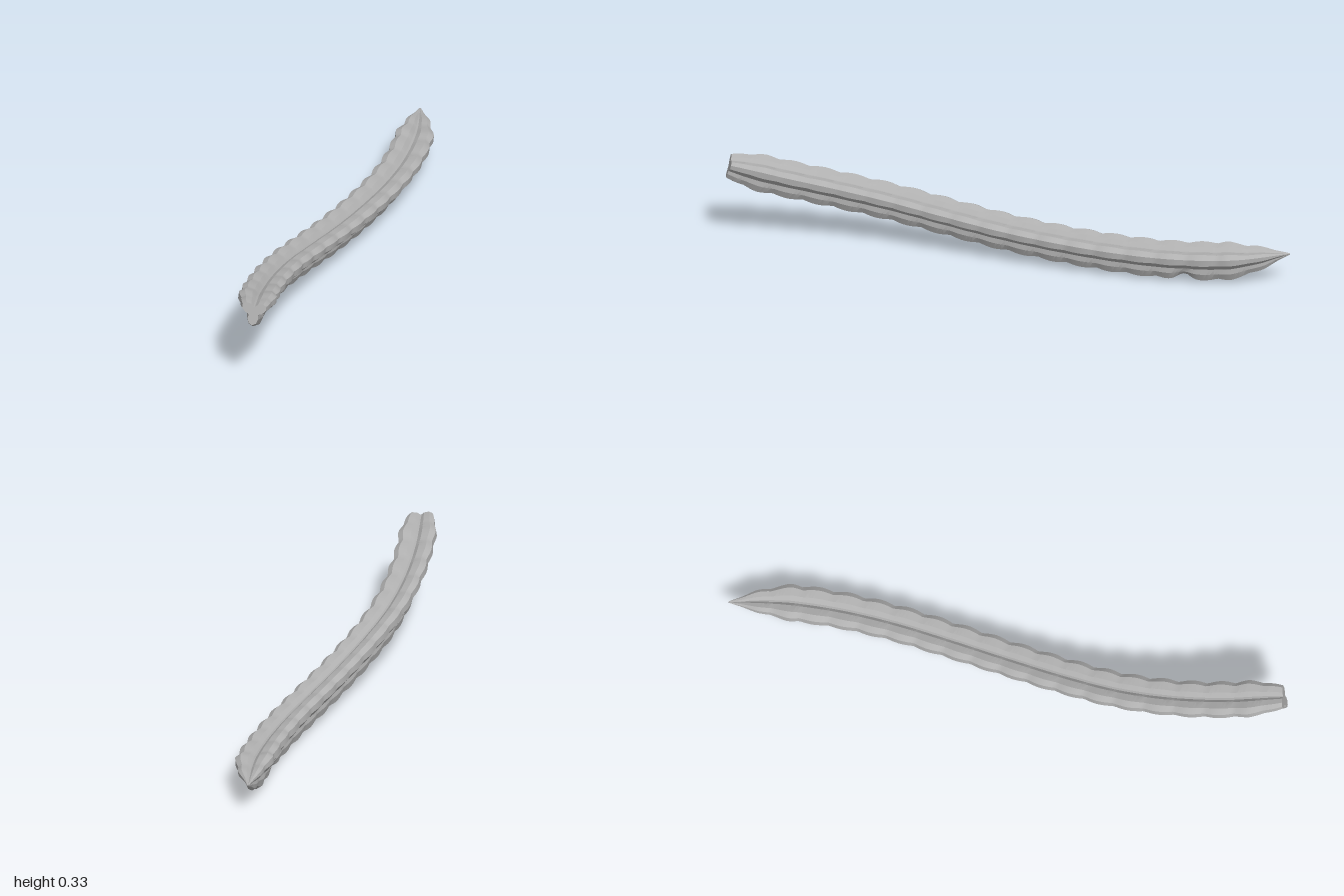
import * as THREE from 'three';
import { toCreasedNormals } from 'three/addons/utils/BufferGeometryUtils.js';

// Linear interpolation through [position, value] keys, positions descending
function sample(keys, p) {
  for (let i = 1; i < keys.length; i++) {
    const [p0, v0] = keys[i - 1], [p1, v1] = keys[i];
    if (p >= p1) return THREE.MathUtils.lerp(v0, v1, THREE.MathUtils.clamp((p0 - p) / (p0 - p1), 0, 1));
  }
  return keys[keys.length - 1][1];
}

// Gently arched centre line, from the blunt end to the tip
const path = new THREE.CatmullRomCurve3([
  [-0.197, 0.299, 0.987], [-0.198, 0.25, 0.8], [-0.181, 0.209, 0.6], [-0.143, 0.173, 0.4],
  [-0.081, 0.14, 0.2], [-0.01, 0.113, 0], [0.06, 0.096, -0.2], [0.124, 0.086, -0.4],
  [0.171, 0.082, -0.6], [0.195, 0.088, -0.8], [0.194, 0.112, -1],
].map((p) => new THREE.Vector3(...p)));

// Ridge radius along z
const ridgeRadius = [[0.987, 0.047], [0.93, 0.066], [0.87, 0.075], [0, 0.074], [-0.78, 0.077], [-0.9, 0.046], [-1, 0.002]];

// One of three blunt lobes: [angle from the ridge, radius ratio, share of the scalloping]
const lobe = [[-17, 0.9, 0.9], [0, 1, 1], [17, 0.9, 0.9], [37, 0.64, 0.5], [53, 0.44, 0.1], [67, 0.44, 0.1], [83, 0.64, 0.5]];
const WAVES = 19, STEPS = 8, ROLL = -6;

// Cross-section ring at fraction t of the path
function ring(t) {
  const c = path.getPointAt(t);
  const along = path.getTangentAt(t);
  const right = new THREE.Vector3().crossVectors(along, new THREE.Vector3(0, 1, 0)).normalize();
  const up = new THREE.Vector3().crossVectors(right, along);
  const r = sample(ridgeRadius, c.z);
  const wave = 0.13 * (Math.abs(Math.sin(Math.PI * (WAVES * t + 0.4))) - 0.65);
  const nick = 0.3 * Math.exp(-(((c.z + 0.62) / 0.03) ** 2));
  const points = [];
  for (let k = 0; k < 3; k++) {
    for (const [deg, ratio, share] of lobe) {
      const a = THREE.MathUtils.degToRad(30 + ROLL + 120 * k + deg);
      const cut = k === 2 ? nick * share : 0; // small nick in the lower ridge
      const d = r * ratio * (1 + wave * share - cut);
      points.push(c.clone().addScaledVector(right, d * Math.cos(a)).addScaledVector(up, d * Math.sin(a)));
    }
  }
  return points;
}

function build(positions, index) {
  const g = new THREE.BufferGeometry();
  g.setAttribute('position', new THREE.Float32BufferAttribute(positions.flatMap((p) => p.toArray()), 3));
  g.setIndex(index);
  g.computeVertexNormals();
  return g;
}

export function createModel() {
  const group = new THREE.Group();
  group.name = 'ridgedSpine';
  const grey = new THREE.MeshStandardMaterial({ color: 0xb0b0b0 });
  grey.name = 'grey';

  // Scalloped three-ridged body
  const n = lobe.length * 3, rings = WAVES * STEPS;
  const verts = [], faces = [];
  for (let i = 0; i <= rings; i++) {
    verts.push(...ring(i / rings));
    if (i === rings) break;
    for (let j = 0; j < n; j++) {
      const a = i * n + j, b = i * n + ((j + 1) % n);
      faces.push(a, a + n, b + n, a, b + n, b);
    }
  }
  const body = new THREE.Mesh(toCreasedNormals(build(verts, faces), 0.45), grey);
  body.name = 'ridgedBody';
  group.add(body);

  // Flat caps on the blunt end and the tiny tip
  for (const [name, t, flip] of [['bluntEnd', 0, false], ['tip', 1, true]]) {
    const capFaces = [];
    for (let j = 0; j < n; j++) {
      const k = (j + 1) % n;
      capFaces.push(n, flip ? k : j, flip ? j : k);
    }
    const cap = new THREE.Mesh(build([...ring(t), path.getPointAt(t)], capFaces), grey);
    cap.name = name;
    group.add(cap);
  }
  return group;
}
